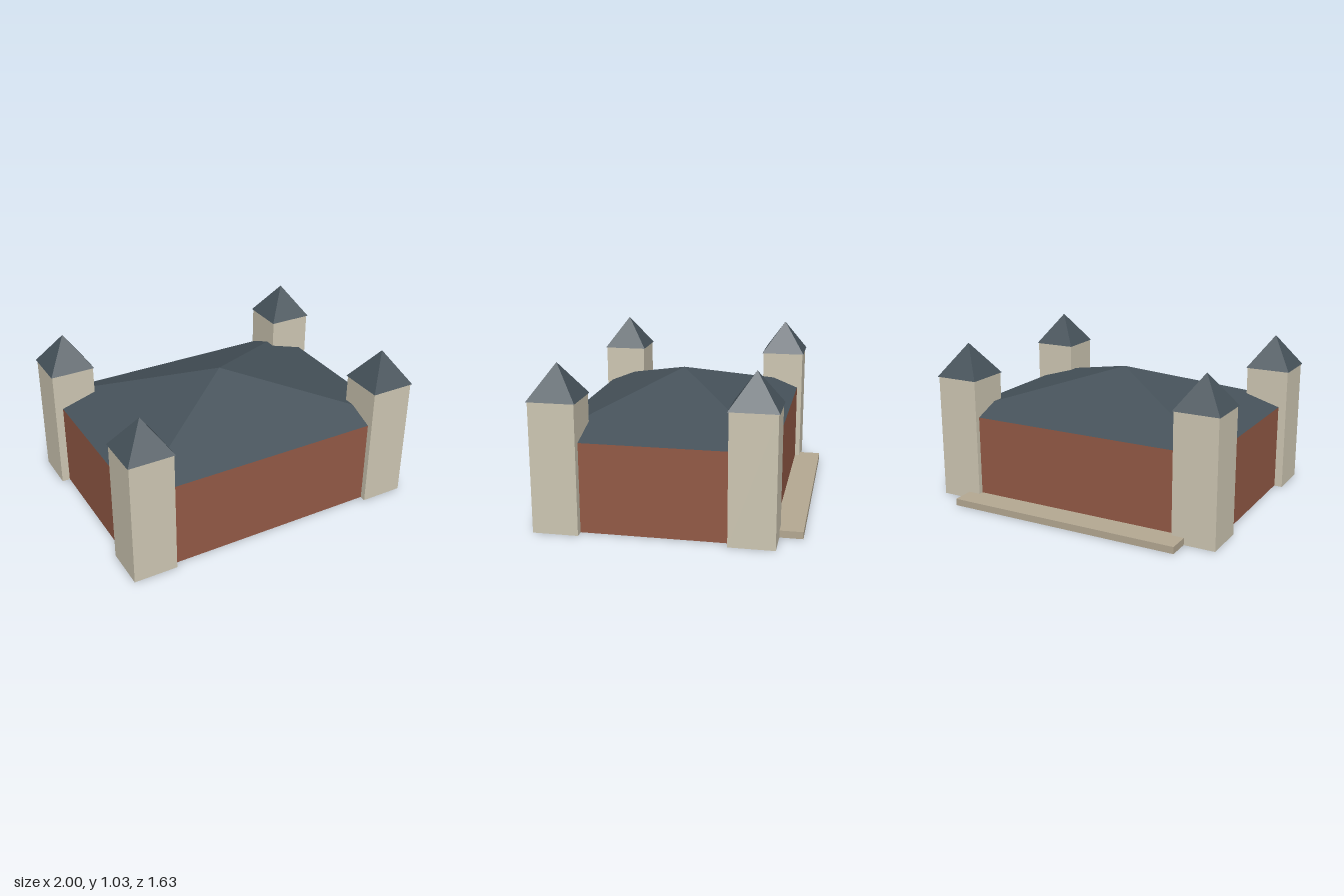
import * as THREE from 'three';

const material = (color) => new THREE.MeshStandardMaterial({ color, flatShading: true });

export function createModel() {
  const model = new THREE.Group();
  model.name = 'fortifiedHall';

  const brick = material(0x945a46);
  const stone = material(0xcfc8b4);
  const paving = material(0xb5a993);
  const slate = material(0x46525a);

  const add = (parent, name, geometry, mat, x, y, z) => {
    const mesh = new THREE.Mesh(geometry, mat);
    mesh.name = name;
    mesh.position.set(x, y, z);
    parent.add(mesh);
    return mesh;
  };

  // Box standing on its base at y = 0
  const block = (w, h, d) => new THREE.BoxGeometry(w, h, d).translate(0, h / 2, 0);

  // Closed four-sided pyramid standing on its base at y = 0
  const pyramid = (w, h, d) =>
    new THREE.ConeGeometry(Math.SQRT1_2, h, 4, 1)
      .rotateY(Math.PI / 4)
      .translate(0, h / 2, 0)
      .scale(w, 1, d);

  // Main hall with its low hipped roof
  add(model, 'hallWalls', block(1.88, 0.567, 1.41), brick, 0, 0.003, 0.065);
  add(model, 'hallRoof', pyramid(1.88, 0.28, 1.41), slate, 0, 0.57, 0.065);

  // Four corner towers with slightly overhanging pointed roofs
  for (const x of [-0.85, 0.85]) {
    for (const z of [-0.53, 0.665]) {
      const tower = new THREE.Group();
      tower.name = 'cornerTower';
      tower.position.set(x, 0, z);
      add(tower, 'towerWalls', block(0.285, 0.82, 0.285), stone, 0, 0, 0);
      add(tower, 'towerRoof', pyramid(0.3, 0.215, 0.3), slate, 0, 0.82, 0);
      model.add(tower);
    }
  }

  // Low step along the back wall
  add(model, 'backStep', block(1.58, 0.045, 0.18), paving, 0, 0.001, -0.727);

  return model;
}
